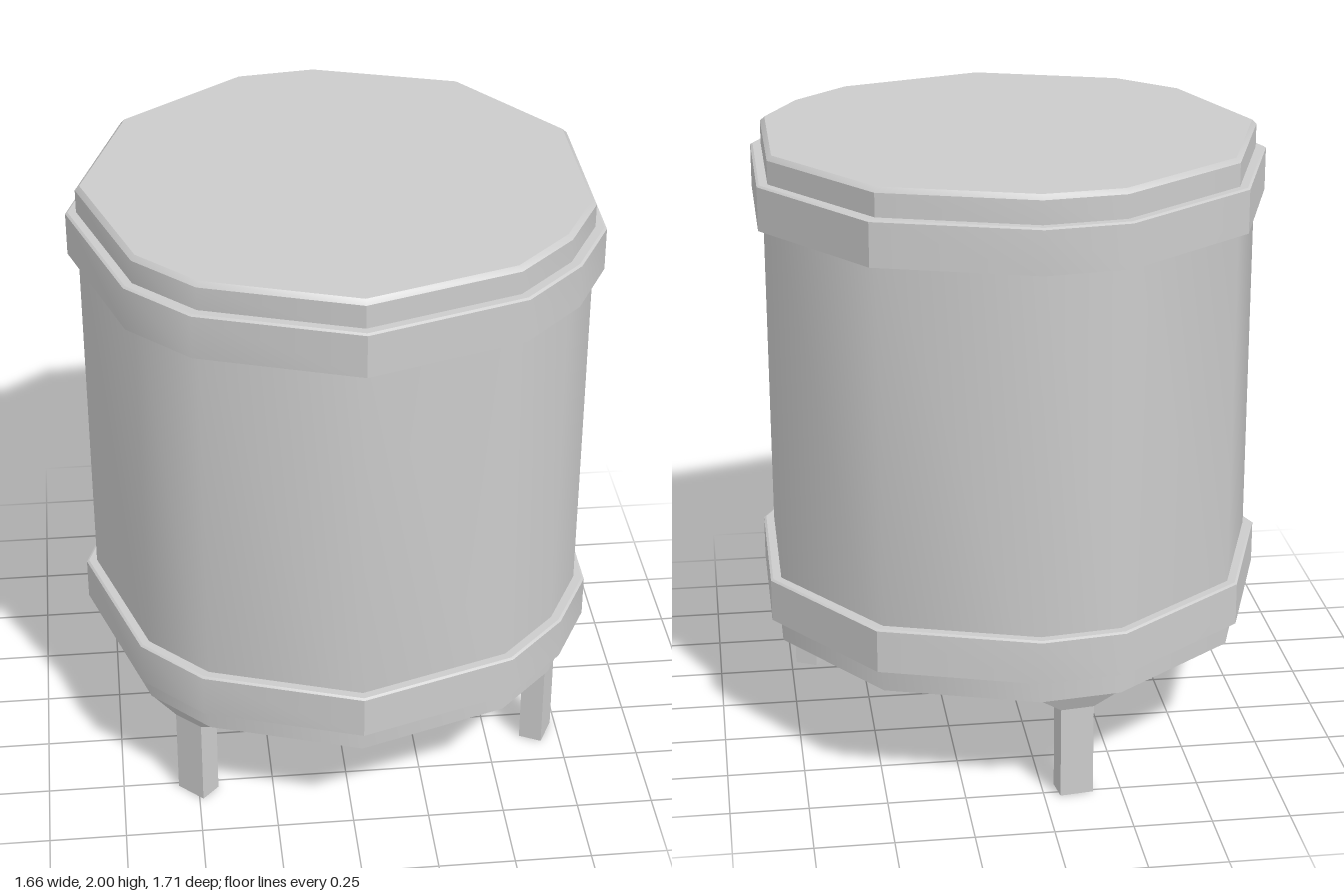
import * as THREE from 'three';
import { toCreasedNormals } from 'three/addons/utils/BufferGeometryUtils.js';

// irregular twelve-sided plan of the bands, as [x, z]
const PLAN = [
  [0.02, -0.855], [0.52, -0.7], [0.83, -0.27], [0.83, 0.27], [0.71, 0.5], [0.52, 0.69],
  [0.02, 0.855], [-0.48, 0.69], [-0.67, 0.5], [-0.835, 0], [-0.67, -0.5], [-0.25, -0.82],
];

// closed solid through levels of [inset, y], listed bottom to top
function layered(levels, creaseDegrees) {
  const rings = levels.map(([inset, y]) => {
    const s = 1 - inset / 0.85;
    return PLAN.map(([x, z]) => [x * s, y, z * s]);
  });
  const low = rings[0], high = rings[rings.length - 1];
  const positions = [];
  const tri = (a, b, c) => positions.push(...a, ...b, ...c);
  for (let i = 0; i < PLAN.length; i++) {
    const j = (i + 1) % PLAN.length;
    for (let k = 0; k + 1 < rings.length; k++) {
      const a = rings[k], b = rings[k + 1];
      tri(a[i], b[i], b[j]);
      tri(a[i], b[j], a[j]);
    }
    tri([0, low[0][1], 0], low[i], low[j]);
    tri([0, high[0][1], 0], high[j], high[i]);
  }
  const geometry = new THREE.BufferGeometry();
  geometry.setAttribute('position', new THREE.Float32BufferAttribute(positions, 3));
  return toCreasedNormals(geometry, THREE.MathUtils.degToRad(creaseDegrees));
}

// flat post that flares sideways and bends outward at the top
function legGeometry() {
  const w = 0.054, flare = 0.13, thick = 0.078;
  const shape = new THREE.Shape([
    [-w, 0], [w, 0], [w, 0.305], [flare, 0.36], [-flare, 0.36], [-w, 0.305],
  ].map(([x, y]) => new THREE.Vector2(x, y)));
  const geometry = new THREE.ExtrudeGeometry(shape, { depth: thick, bevelEnabled: false });
  geometry.translate(0, 0, -thick / 2);
  const p = geometry.attributes.position;
  for (let i = 0; i < p.count; i++) if (p.getY(i) > 0.33) p.setZ(i, p.getZ(i) + 0.025);
  geometry.computeVertexNormals();
  return geometry;
}

export function createModel() {
  const group = new THREE.Group();
  const material = new THREE.MeshStandardMaterial({ color: 0xcccccc });
  const add = (name, geometry) => {
    const mesh = new THREE.Mesh(geometry, material);
    mesh.name = name;
    group.add(mesh);
    return mesh;
  };

  // tank wall and lid
  add('body', layered([[0.035, 0.36], [0.035, 1.9]], 60));
  add('lid', layered([[0.035, 1.89], [0.035, 1.985], [0.05, 2]], 30));

  // raised bands
  for (const [name, y] of [['lowerBand', 0.44], ['upperBand', 1.765]]) {
    add(name, layered([[0, y], [0, y + 0.14], [0.008, y + 0.145]], 30));
  }

  // three legs around the rim
  const leg = legGeometry();
  [[0.675, 0.338], [-0.5, 0.525], [-0.1, -0.73]].forEach(([x, z], i) => {
    const mesh = add(`leg${i + 1}`, leg);
    mesh.position.set(x, 0, z);
    mesh.rotation.y = Math.atan2(x, z);
  });
  return group;
}
